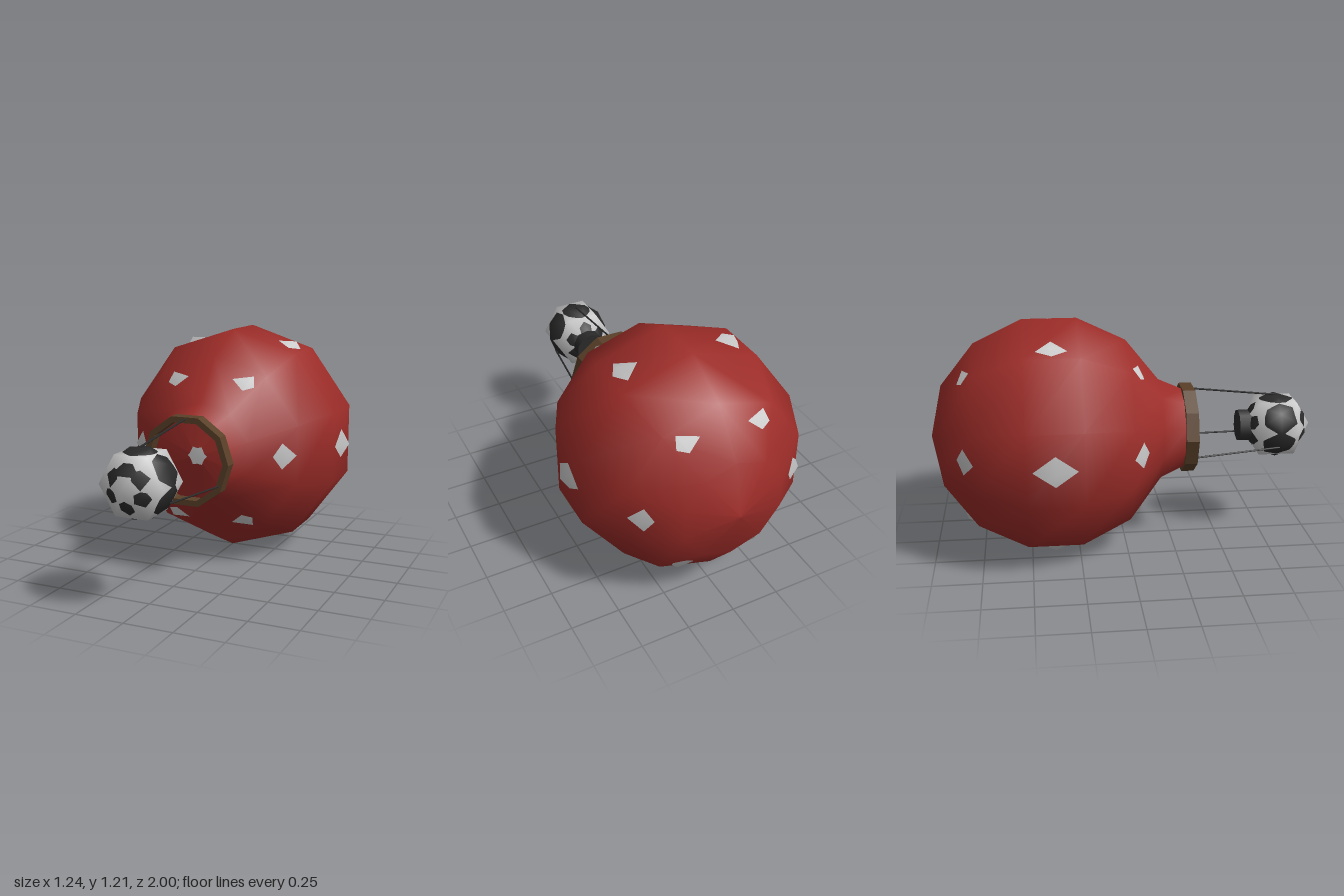
import * as THREE from 'three';

const mat = (color, side = THREE.FrontSide) => new THREE.MeshStandardMaterial({ color, side });
const red = mat(0x9c2c28, THREE.DoubleSide);
const white = mat(0xcccccc);
const dark = mat(0x2a2a2a);
const wood = mat(0x5a4028, THREE.DoubleSide);
const AXIS_Y = 0.605; // height of the horizontal main axis

export function createModel() {
  const model = new THREE.Group();

  function add(name, geometry, material, z = 0, parent = model) {
    const mesh = new THREE.Mesh(geometry, material);
    mesh.name = name;
    mesh.position.set(0, AXIS_Y, z);
    parent.add(mesh);
    return mesh;
  }
  // Turns a geometry built along y so that it points forward (+z)
  const forward = (g) => g.rotateX(Math.PI / 2);
  const lathe = (pts, sides) =>
    forward(new THREE.LatheGeometry(pts.map(([r, z]) => new THREE.Vector2(r, z)), sides));

  // Balloon envelope: seven-band sphere whose front band becomes a neck
  const R = 0.62, centre = -0.38;
  const profile = [];
  for (let i = 0; i <= 6; i++) {
    const a = (i / 7) * Math.PI;
    profile.push([R * Math.sin(a), -R * Math.cos(a)]);
  }
  const shoulder = profile[6];
  profile.push([0.21, 0.69]);
  add('balloon', lathe(profile, 10), red, centre);

  // Shallow cap closing the balloon inside the neck
  add('innerCap', lathe([shoulder, [0, 0.608]], 10), red, centre);

  // Coarser white sphere whose corners show through as patches
  add('patches', forward(new THREE.SphereGeometry(R, 6, 4)), white, centre);

  // Wooden mouth ring, ten sided with a flat top
  const ring = new THREE.Shape();
  const hole = new THREE.Path();
  const corners = (r) => Array.from({ length: 10 }, (_, i) =>
    new THREE.Vector2(r * Math.cos(i * Math.PI / 5), r * Math.sin(i * Math.PI / 5)));
  ring.setFromPoints(corners(0.235));
  hole.setFromPoints(corners(0.204));
  ring.holes.push(hole);
  add('mouthRing', new THREE.ExtrudeGeometry(ring, { depth: 0.065, bevelEnabled: false }), wood, 0.3);

  // Hanging ball: a dark round core with a coarse white sphere poking through
  const ball = new THREE.Group();
  ball.name = 'hangingBall';
  model.add(ball);
  const core = new THREE.IcosahedronGeometry(0.171, 1);
  core.rotateX(Math.atan(2 / (1 + Math.sqrt(5))));
  add('darkCore', core, dark, 0.81, ball);
  add('whitePanels', forward(new THREE.SphereGeometry(0.19, 6, 3)), white, 0.81, ball);
  add('collar', forward(new THREE.CylinderGeometry(0.085, 0.085, 0.1, 10)), dark, 0.66, ball);

  // Three ropes from the ring to the ball
  for (let i = 0; i < 3; i++) {
    const a = Math.PI / 2 + (i * 2 * Math.PI) / 3;
    const at = (r, z) => new THREE.Vector3(r * Math.cos(a), r * Math.sin(a), z);
    const line = new THREE.LineCurve3(at(0.215, 0.34), at(0.165, 0.81));
    add('rope', new THREE.TubeGeometry(line, 1, 0.005, 6), dark);
  }

  return model;
}
